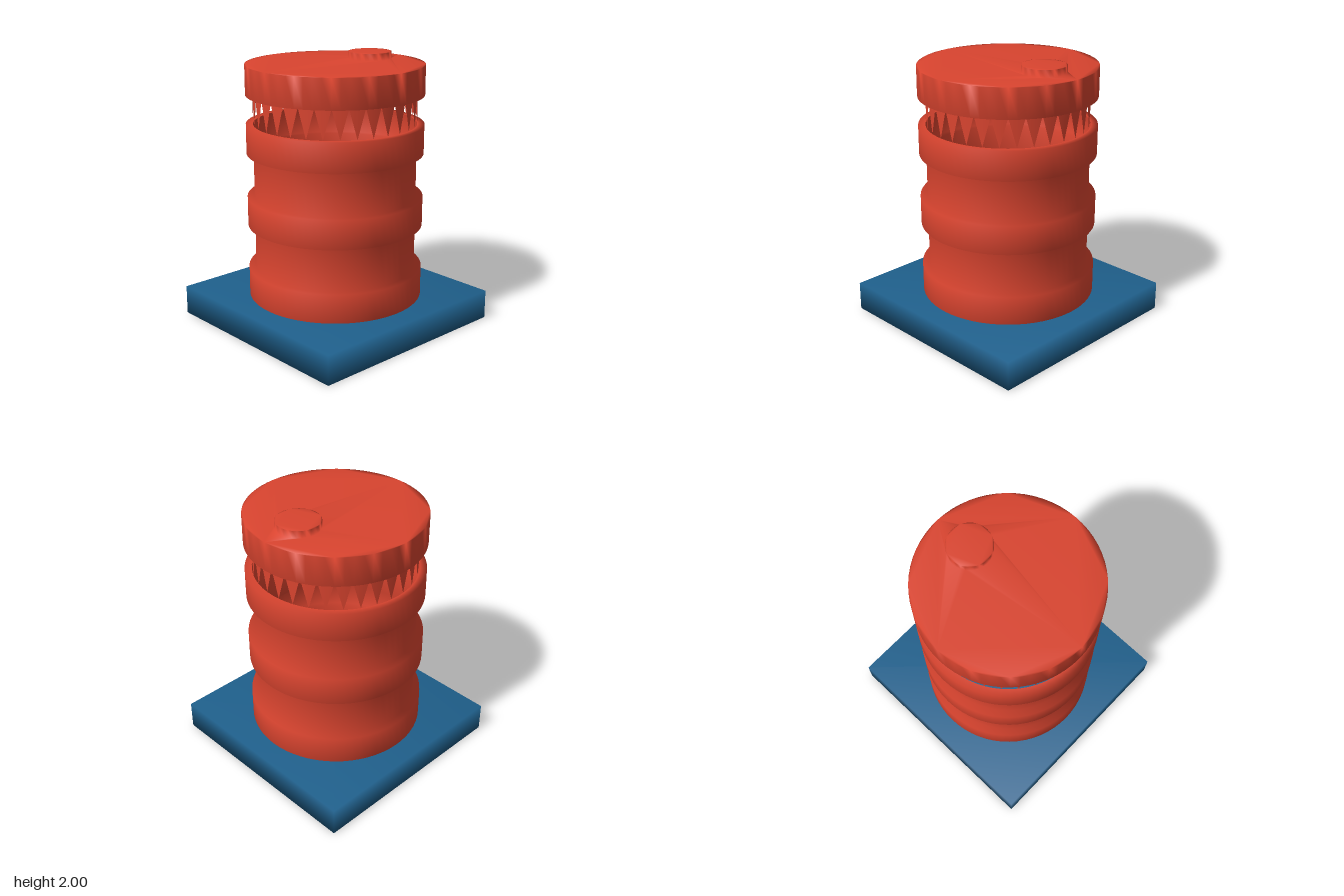
import * as THREE from 'three';
import { mergeVertices, mergeGeometries } from 'three/addons/utils/BufferGeometryUtils.js';

const SEG = 64, R = 0.647, WALL = 0.595;

// Weld all corners so the shading flows softly across every edge
function soften(parts) {
  const bare = parts.map((p) => {
    const g = p.index ? p.toNonIndexed() : p;
    g.deleteAttribute('normal');
    g.deleteAttribute('uv');
    return g;
  });
  const g = mergeVertices(mergeGeometries(bare), 1e-3);
  g.computeVertexNormals();
  return g;
}

const lathe = (pts, seg = SEG) =>
  new THREE.LatheGeometry(pts.map(([r, y]) => new THREE.Vector2(r, y)), seg);

const circle = (r, n, cx = 0) => Array.from({ length: n }, (_, i) => {
  const a = (i / n) * Math.PI * 2;
  return new THREE.Vector2(cx + r * Math.cos(a), r * Math.sin(a));
});

export function createModel() {
  const model = new THREE.Group();
  const red = new THREE.MeshStandardMaterial({ color: 0xd9442f, side: THREE.DoubleSide });
  const blue = new THREE.MeshStandardMaterial({ color: 0x1f608c });
  const add = (name, geometry, material) => {
    const mesh = new THREE.Mesh(geometry, material);
    mesh.name = name;
    model.add(mesh);
  };

  // Square base slab
  add('base', soften([new THREE.BoxGeometry(1.62, 0.217, 1.62).translate(0, 0.1085, 0)]), blue);

  // Drum body: three raised hoops joined by recessed walls
  const profile = [];
  for (const y of [0.217, 0.76, 1.3]) {
    profile.push([WALL, y], [R, y], [R, y + 0.215], [WALL, y + 0.215]);
  }
  add('drumBody', soften([lathe(profile)]), red);

  // Torn upper wall: teeth hanging from the lid down to the top hoop
  const teeth = [], n = 32;
  const at = (k, y) => {
    const a = (k / n) * Math.PI * 2;
    return [WALL * Math.sin(a), y, WALL * Math.cos(a)];
  };
  for (let k = 0; k < n; k++) {
    teeth.push(...at(k, 1.73), ...at(k + 0.5, 1.515), ...at(k + 1, 1.73));
  }
  const teethGeometry = new THREE.BufferGeometry();
  teethGeometry.setAttribute('position', new THREE.Float32BufferAttribute(teeth, 3));
  add('tornWall', soften([teethGeometry]), red);

  // Lid: rim, top plate pierced for the filler cap, and the cap itself
  const plate = new THREE.Shape(circle(R, SEG));
  plate.holes.push(new THREE.Path(circle(0.16, 32, 0.348)));
  add('lid', soften([
    lathe([[WALL, 1.73], [R, 1.73], [R, 1.947]]),
    new THREE.ShapeGeometry(plate).rotateX(-Math.PI / 2).translate(0, 1.947, 0),
    lathe([[0.16, 1.947], [0.16, 2]], 32).translate(0.348, 0, 0),
    new THREE.ShapeGeometry(new THREE.Shape(circle(0.16, 32, 0.348)))
      .rotateX(-Math.PI / 2).translate(0, 2, 0),
  ]), red);

  return model;
}
